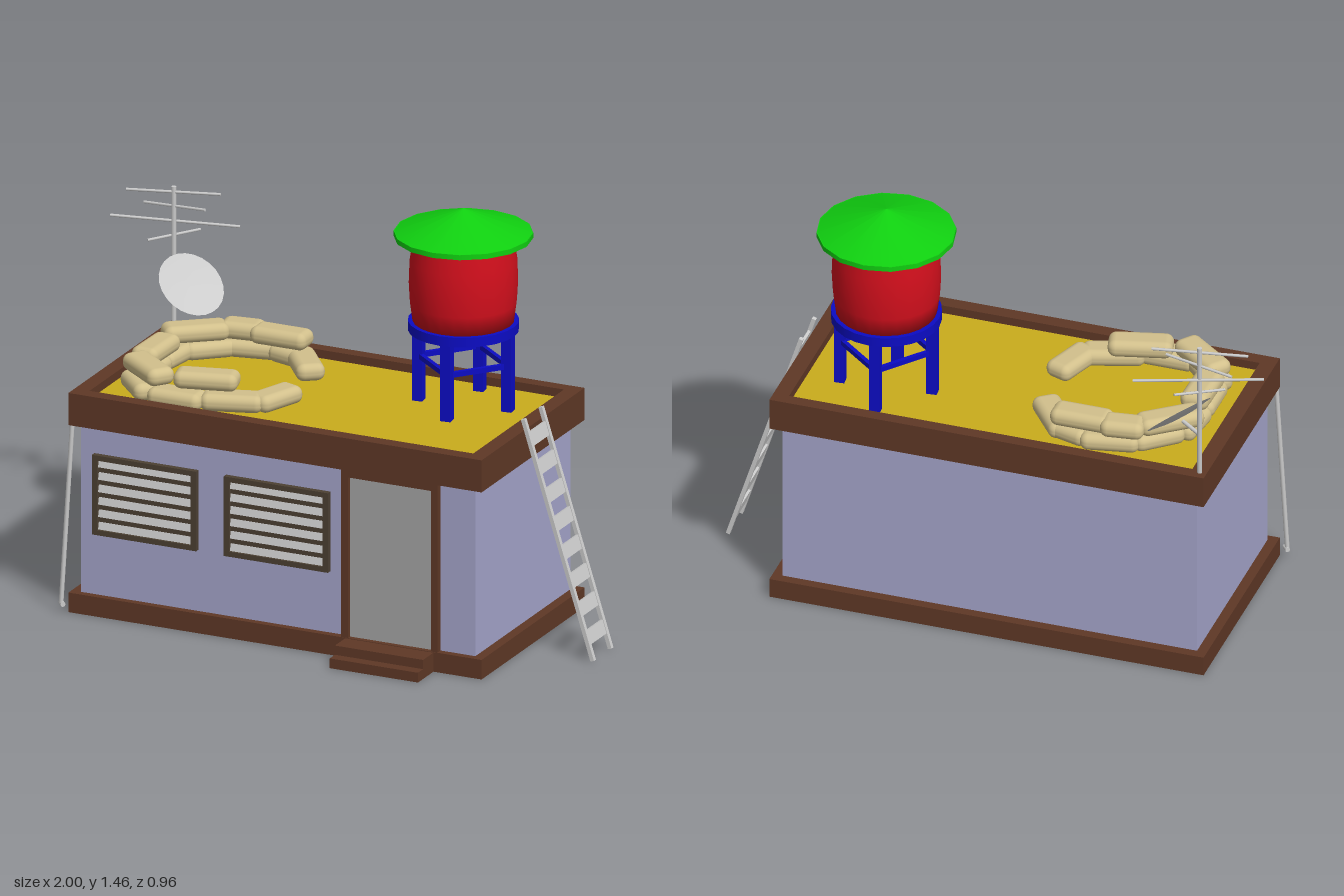
import * as THREE from 'three';
import { RoundedBoxGeometry } from 'three/addons/geometries/RoundedBoxGeometry.js';

const mat = (color, side = THREE.FrontSide) => {
  const m = new THREE.MeshStandardMaterial({ side });
  m.color.set(color);
  return m;
};
const BROWN = mat(0x5f3826), WALL = mat(0xa6a6cc), FLOOR = mat(0xc9ac1c), GREY = mat(0xcccccc);
const DOOR = mat(0xa5a5a5), FRAME = mat(0x4c4033), BLUE = mat(0x0c0cc4), BAG = mat(0xd2c08c);
const RED = mat(0xd20f1c, THREE.DoubleSide), GREEN = mat(0x10d010, THREE.DoubleSide);
const DISH = mat(0xcccccc, THREE.DoubleSide);

function add(parent, name, geometry, material) {
  const mesh = new THREE.Mesh(geometry, material);
  mesh.name = name;
  parent.add(mesh);
  return mesh;
}

// Box given by its extents on each axis
function box(parent, name, material, [x0, x1], [y0, y1], [z0, z1]) {
  const mesh = add(parent, name, new THREE.BoxGeometry(x1 - x0, y1 - y0, z1 - z0), material);
  mesh.position.set((x0 + x1) / 2, (y0 + y1) / 2, (z0 + z1) / 2);
  return mesh;
}

// Round rod between two points
function rod(parent, name, material, a, b, radius) {
  const p = new THREE.Vector3(...a), q = new THREE.Vector3(...b);
  const mesh = add(parent, name, new THREE.CylinderGeometry(radius, radius, p.distanceTo(q), 8), material);
  mesh.position.copy(p).add(q).multiplyScalar(0.5);
  mesh.quaternion.setFromUnitVectors(new THREE.Vector3(0, 1, 0), q.sub(p).normalize());
  return mesh;
}

function group(parent, name) {
  const g = new THREE.Group();
  g.name = name;
  parent.add(g);
  return g;
}

function buildHouse(root) {
  const house = group(root, 'house');
  box(house, 'foundation', BROWN, [-0.815, 0.73], [0, 0.07], [-0.44, 0.36]);
  box(house, 'walls', WALL, [-0.78, 0.695], [0.07, 0.68], [-0.405, 0.335]);

  // Parapet ring around a sunken roof floor
  const ring = new THREE.Shape([[-0.815, -0.36], [0.73, -0.36], [0.73, 0.44], [-0.815, 0.44]].map(p => new THREE.Vector2(...p)));
  ring.holes.push(new THREE.Path([[-0.76, -0.31], [-0.76, 0.395], [0.675, 0.395], [0.675, -0.31]].map(p => new THREE.Vector2(...p))));
  const parapet = add(house, 'parapet', new THREE.ExtrudeGeometry(ring, { depth: 0.115, bevelEnabled: false }), BROWN);
  parapet.rotation.x = -Math.PI / 2;
  parapet.position.y = 0.67;
  box(house, 'roofFloor', FLOOR, [-0.765, 0.68], [0.672, 0.755], [-0.4, 0.315]);

  // Door with frame and steps
  box(house, 'doorPanel', DOOR, [0.225, 0.545], [0.07, 0.65], [0.33, 0.342]);
  box(house, 'doorPostRight', BROWN, [0.203, 0.23], [0.07, 0.67], [0.33, 0.358]);
  box(house, 'doorPostLeft', BROWN, [0.54, 0.565], [0.07, 0.67], [0.33, 0.358]);
  box(house, 'doorLintel', BROWN, [0.23, 0.54], [0.645, 0.67], [0.33, 0.358]);
  box(house, 'upperStep', BROWN, [0.22, 0.55], [0, 0.068], [0.35, 0.44]);
  box(house, 'lowerStep', BROWN, [0.22, 0.55], [0, 0.035], [0.35, 0.48]);

  // Louvred windows
  for (const x of [-0.73, -0.237]) {
    const win = group(house, 'window');
    const X = [x, x + 0.39];
    box(win, 'windowBack', FRAME, X, [0.29, 0.575], [0.33, 0.338]);
    box(win, 'frameTop', FRAME, X, [0.557, 0.575], [0.33, 0.355]);
    box(win, 'frameBottom', FRAME, X, [0.29, 0.308], [0.33, 0.355]);
    box(win, 'frameSide', FRAME, [x, x + 0.02], [0.308, 0.557], [0.33, 0.355]);
    box(win, 'frameSide', FRAME, [x + 0.37, x + 0.39], [0.308, 0.557], [0.33, 0.355]);
    for (let i = 0; i < 6; i++) {
      const y = 0.32 + i * 0.0445;
      const slat = box(win, 'slat', GREY, [x + 0.02, x + 0.37], [y - 0.013, y + 0.013], [0.341, 0.345]);
      slat.position.y += 0.001;
      slat.rotation.x = -0.25;
    }
  }

  // Leaning pole at the front corner
  rod(house, 'cornerPole', GREY, [-0.808, 0.67, 0.345], [-0.84, 0.03, 0.365], 0.008);
  rod(house, 'poleFoot', GREY, [-0.845, 0.03, 0.355], [-0.828, 0.03, 0.375], 0.009);
}

function buildLadder(root) {
  const ladder = group(root, 'ladder');
  const length = Math.hypot(0.26, 0.825);
  for (const z of [0.0325, -0.1035])
    box(ladder, 'ladderRail', GREY, [-0.007, 0.007], [0, length], [z - 0.008, z + 0.008]);
  for (let i = 0; i < 8; i++) {
    const y = 0.08 + i * 0.1015;
    box(ladder, 'rung', GREY, [-0.005, 0.005], [y - 0.025, y + 0.025], [-0.1, 0.03]);
  }
  ladder.position.set(0.99, 0.002, 0);
  ladder.rotation.z = Math.atan2(0.26, 0.825);
}

function buildWaterTower(root) {
  const tower = group(root, 'waterTower');
  tower.position.set(0.4, 0, -0.185);

  // Four legs joined by rails
  const stand = group(tower, 'stand');
  stand.rotation.y = 0.095;
  for (let i = 0; i < 4; i++) {
    const side = group(stand, 'standSide');
    side.rotation.y = i * Math.PI / 2;
    box(side, 'leg', BLUE, [0.142, 0.178], [0.755, 1.035], [-0.018, 0.018]);
    const rail = add(side, 'rail', new THREE.BoxGeometry(0.225, 0.018, 0.015), BLUE);
    rail.position.set(0.08, 0.915, 0.08);
    rail.rotation.y = Math.PI / 4;
  }
  const platform = add(tower, 'platform', new THREE.CylinderGeometry(0.188, 0.188, 0.034, 24), BLUE);
  platform.position.y = 1.045;

  const profile = [[0, 1.06], [0.172, 1.06], [0.181, 1.13], [0.185, 1.2], [0.182, 1.28], [0.168, 1.37]];
  add(tower, 'tank', new THREE.LatheGeometry(profile.map(p => new THREE.Vector2(...p)), 24), RED);

  // Conical cover with a short rim
  const rim = add(tower, 'coverRim', new THREE.CylinderGeometry(0.236, 0.236, 0.018, 16), GREEN);
  rim.position.y = 1.367;
  const cover = add(tower, 'cover', new THREE.ConeGeometry(0.236, 0.086, 16, 1, true), GREEN);
  cover.position.y = 1.418;
}

function buildAntenna(root) {
  const antenna = group(root, 'antenna');
  rod(antenna, 'mast', GREY, [-0.79, 0.77, -0.407], [-0.79, 1.28, -0.407], 0.009);
  const elements = [
    [[-0.95, 1.257, -0.37], [-0.63, 1.265, -0.44]],
    [[-0.91, 1.2, -0.425], [-0.665, 1.22, -0.39]],
    [[-1, 1.163, -0.35], [-0.575, 1.147, -0.475]],
    [[-0.86, 1.095, -0.35], [-0.72, 1.117, -0.47]],
  ];
  for (const [a, b] of elements) rod(antenna, 'element', GREY, a, b, 0.005);

  // Shallow dish on a short arm
  rod(antenna, 'dishArm', GREY, [-0.79, 0.935, -0.407], [-0.715, 0.945, -0.36], 0.007);
  const bowl = [[0, -0.012], [0.06, -0.009], [0.12, 0]].map(p => new THREE.Vector2(...p));
  const dish = add(antenna, 'dish', new THREE.LatheGeometry(bowl, 24), DISH);
  dish.position.set(-0.697, 0.962, -0.35);
  dish.quaternion.setFromUnitVectors(new THREE.Vector3(0, 1, 0), new THREE.Vector3(0.6, 0.71, 0.34).normalize());
}

function buildSandbags(root) {
  const bags = group(root, 'sandbags');
  // Each bag is laid between two plan points: x, z, x, z
  const layers = [
    [0.79, [[-0.28, -0.32, -0.15, -0.15], [-0.37, -0.32, -0.23, -0.28], [-0.54, -0.29, -0.34, -0.33],
      [-0.65, -0.18, -0.51, -0.3], [-0.67, -0.04, -0.65, -0.21], [-0.665, -0.05, -0.665, 0.13],
      [-0.69, 0.12, -0.56, 0.26], [-0.56, 0.25, -0.36, 0.25], [-0.38, 0.235, -0.175, 0.17], [-0.195, 0.2, -0.13, 0.02]]],
    [0.85, [[-0.44, -0.3, -0.23, -0.3], [-0.56, -0.3, -0.41, -0.32], [-0.71, -0.15, -0.53, -0.29],
      [-0.66, -0.105, -0.665, 0.1], [-0.69, 0.115, -0.51, 0.255], [-0.485, 0.22, -0.27, 0.165]]],
  ];
  for (const [y, list] of layers)
    for (const [x0, z0, x1, z1] of list) {
      const length = Math.hypot(x1 - x0, z1 - z0);
      const bag = add(bags, 'sandbag', new RoundedBoxGeometry(length, 0.062, 0.1, 3, 0.028), BAG);
      bag.position.set((x0 + x1) / 2, y, (z0 + z1) / 2);
      bag.rotation.y = -Math.atan2(z1 - z0, x1 - x0);
    }
}

export function createModel() {
  const root = new THREE.Group();
  root.name = 'rooftopOutpost';
  buildHouse(root);
  buildLadder(root);
  buildWaterTower(root);
  buildAntenna(root);
  buildSandbags(root);
  return root;
}
